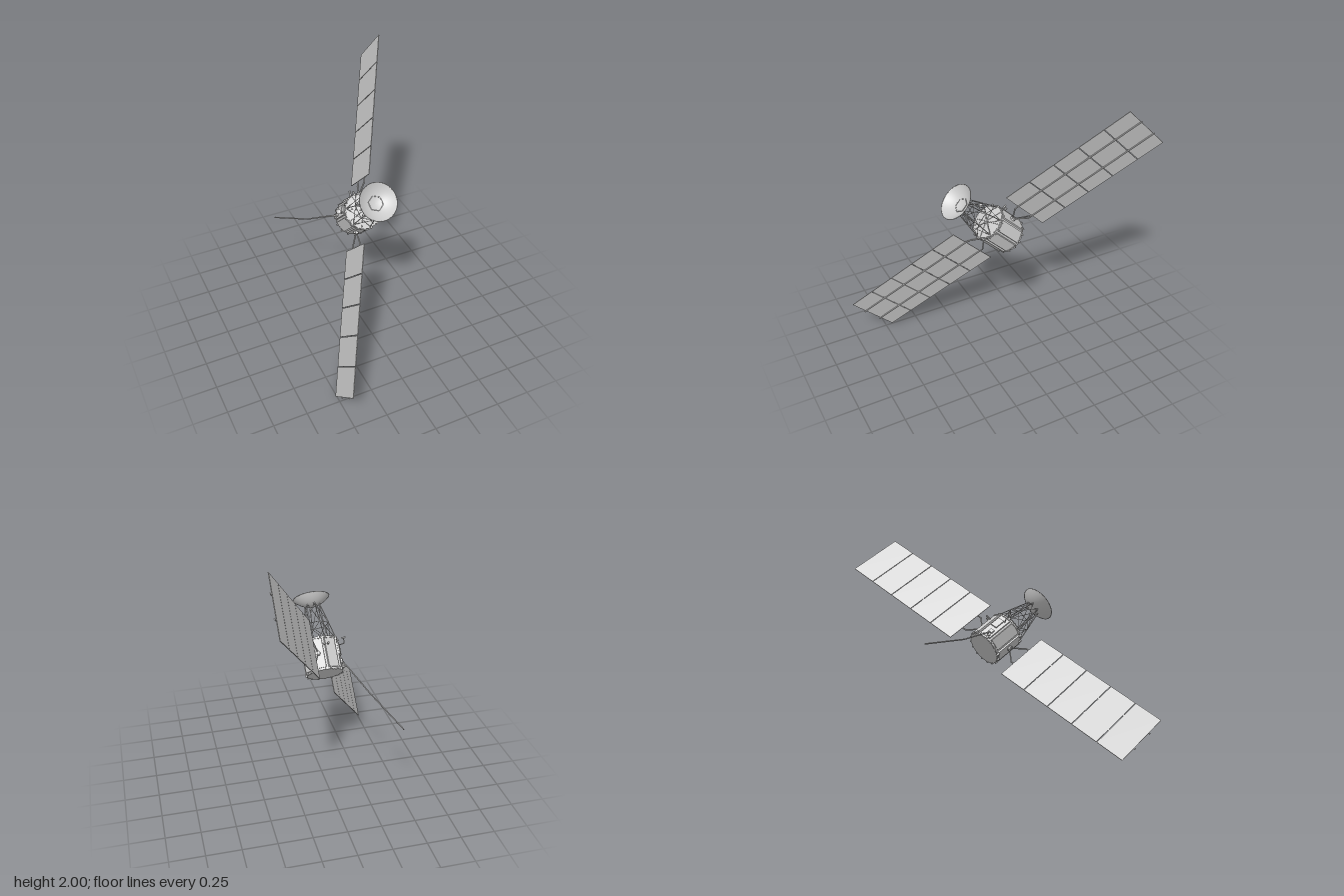
import * as THREE from 'three';

const V = (x, y, z) => new THREE.Vector3(x, y, z);
const smooth = new THREE.MeshStandardMaterial({ color: 0xcccccc, side: THREE.DoubleSide });
const flat = new THREE.MeshStandardMaterial({ color: 0xcccccc, flatShading: true });

function add(parent, name, geometry, material = flat) {
  const mesh = new THREE.Mesh(geometry, material);
  mesh.name = name;
  parent.add(mesh);
  return mesh;
}

// Straight round bar between two points
function bar(parent, name, a, b, r) {
  const mesh = add(parent, name, new THREE.CylinderGeometry(r, r, a.distanceTo(b), 6));
  mesh.position.copy(a).add(b).multiplyScalar(0.5);
  mesh.quaternion.setFromUnitVectors(V(0, 1, 0), b.clone().sub(a).normalize());
  return mesh;
}

// Bent bar with a joint at each corner
function bentBar(parent, name, points, r) {
  for (let i = 0; i + 1 < points.length; i++) {
    bar(parent, name, points[i], points[i + 1], r);
    if (i) add(parent, name + 'Joint', new THREE.SphereGeometry(r * 1.1, 8, 6), smooth).position.copy(points[i]);
  }
}

// Shallow bowl with its rim at y = 0
function dishGeometry(radius, depth, segments) {
  const profile = [];
  for (let i = 0; i <= 10; i++) {
    const t = i / 10;
    profile.push(new THREE.Vector2(radius * t, depth * (t * t - 1)));
  }
  return new THREE.LatheGeometry(profile, segments);
}

const polar = (r, y, angle) => V(Math.cos(angle) * r, y, Math.sin(angle) * r);

function buildBody() {
  const body = new THREE.Group();
  body.name = 'body';
  add(body, 'core', new THREE.CylinderGeometry(0.127, 0.127, 0.25, 16));
  add(body, 'topCap', new THREE.ConeGeometry(0.122, 0.012, 16)).position.y = 0.131;
  for (const y of [-0.118, 0.118]) {
    add(body, 'rim', new THREE.CylinderGeometry(0.132, 0.132, 0.012, 16)).position.y = y;
  }
  for (let i = 0; i < 8; i++) {
    const angle = (i * Math.PI) / 4;
    const side = new THREE.Group();
    side.name = 'bodySide';
    side.rotation.y = angle;
    body.add(side);
    add(side, 'sidePanel', new THREE.BoxGeometry(0.012, 0.214, 0.084)).position.x = 0.126;
    bar(side, 'capRib', V(0, 0.138, 0), V(0.122, 0.127, 0), 0.0025);
    // Brackets along both rims
    for (const y of [-0.115, 0.115]) {
      for (const z of [-0.027, 0.027]) {
        add(side, 'rimBracket', new THREE.BoxGeometry(0.014, 0.022, 0.012)).position.set(0.13, y, z);
      }
    }
  }
  // Equipment on the right-hand side
  add(body, 'equipmentBox', new THREE.BoxGeometry(0.05, 0.08, 0.012)).position.set(0.01, 0.03, -0.136);
  add(body, 'equipmentBox', new THREE.BoxGeometry(0.03, 0.03, 0.016)).position.set(-0.012, -0.055, -0.136);
  // Pair of small sensors
  for (const z of [-0.078, -0.05]) {
    const a = V(0.105, 0.06, z);
    bar(body, 'sensor', a, a.clone().add(V(0.04, 0, -0.014)), 0.007);
  }
  return body;
}

function buildTower() {
  const tower = new THREE.Group();
  tower.name = 'dishTower';
  const levels = [[0.125, 0.126], [0.095, 0.25], [0.054, 0.408]];
  const n = 6;
  const node = (level, i) => polar(levels[level][0], levels[level][1], ((i + 0.5) * 2 * Math.PI) / n);
  for (let i = 0; i < n; i++) {
    for (let k = 0; k < 2; k++) {
      bar(tower, 'towerLeg', node(k, i), node(k + 1, i), 0.0033);
      bar(tower, 'towerBrace', node(k, i), node(k + 1, i + 1), 0.002);
      bar(tower, 'towerBrace', node(k, i + 1), node(k + 1, i), 0.002);
      bar(tower, 'towerRing', node(k + 1, i), node(k + 1, i + 1), 0.0025);
    }
  }
  add(tower, 'mainDish', dishGeometry(0.135, 0.066, 40), smooth).position.y = 0.463;
  const rim = add(tower, 'dishRim', new THREE.TorusGeometry(0.135, 0.002, 6, 40), smooth);
  rim.rotation.x = Math.PI / 2;
  rim.position.y = 0.463;
  return tower;
}

// Solar wing reaching along +x, its rods on the side given by face
function buildWing(face) {
  const wing = new THREE.Group();
  wing.name = 'solarWing';
  const start = 0.247, pitch = 1.055 / 5;
  for (let i = 0; i < 5; i++) {
    add(wing, 'solarPanel', new THREE.BoxGeometry(pitch - 0.005, 0.425, 0.005))
      .position.x = start + pitch * (i + 0.5);
  }
  for (const s of [-1, 1]) {
    const y = s * 0.08, z = face * 0.008;
    // Rod along the panels, then bent in to the hub
    bentBar(wing, 'wingRod', [V(1.308, y, z), V(0.222, y, z), V(0.148, s * 0.012, 0), V(0.12, s * 0.012, 0)], 0.0055);
    for (let i = 1; i < 5; i++) {
      add(wing, 'panelHinge', new THREE.BoxGeometry(0.018, 0.014, 0.008)).position.set(start + pitch * i, y, face * 0.005);
    }
  }
  bar(wing, 'wingHub', V(0.12, 0, 0), V(0.147, 0, 0), 0.02);
  return wing;
}

export function createModel() {
  const model = new THREE.Group();
  model.name = 'satellite';

  // Tilted craft: x along the wings, y along the body toward the dish
  const craft = new THREE.Group();
  craft.name = 'craft';
  const axis = V(0, 1, 1).normalize();
  const span = V(0.387, 0.652, -0.652).normalize();
  const normal = span.clone().cross(axis);
  craft.quaternion.setFromRotationMatrix(new THREE.Matrix4().makeBasis(span, axis, normal));
  craft.position.set(-0.004, 1.003, 0);
  model.add(craft);

  const body = buildBody();
  const wing = buildWing(1);
  const oppositeWing = buildWing(-1);
  oppositeWing.rotation.y = Math.PI;
  craft.add(body, buildTower(), wing, oppositeWing);

  // Long bent boom trailing behind
  bentBar(model, 'boom', [
    V(-0.11, 0.965, -0.08), V(-0.165, 0.965, -0.105), V(-0.28, 0.835, -0.3), V(-0.435, 0.695, -0.597),
  ], 0.005);
  const mount = bar(model, 'boomMount', V(-0.1, 0.965, -0.08), V(-0.148, 0.965, -0.092), 0.014);
  mount.name = 'boomMount';

  // Small side antenna
  bentBar(model, 'antennaStem', [V(-0.115, 1.07, 0.03), V(-0.178, 1.085, 0.028), V(-0.178, 1.112, 0.05)], 0.0035);
  const antenna = add(model, 'smallDish', dishGeometry(0.018, 0.007, 16), smooth);
  antenna.position.set(-0.178, 1.118, 0.054);
  antenna.quaternion.setFromUnitVectors(V(0, 1, 0), axis);
  return model;
}
